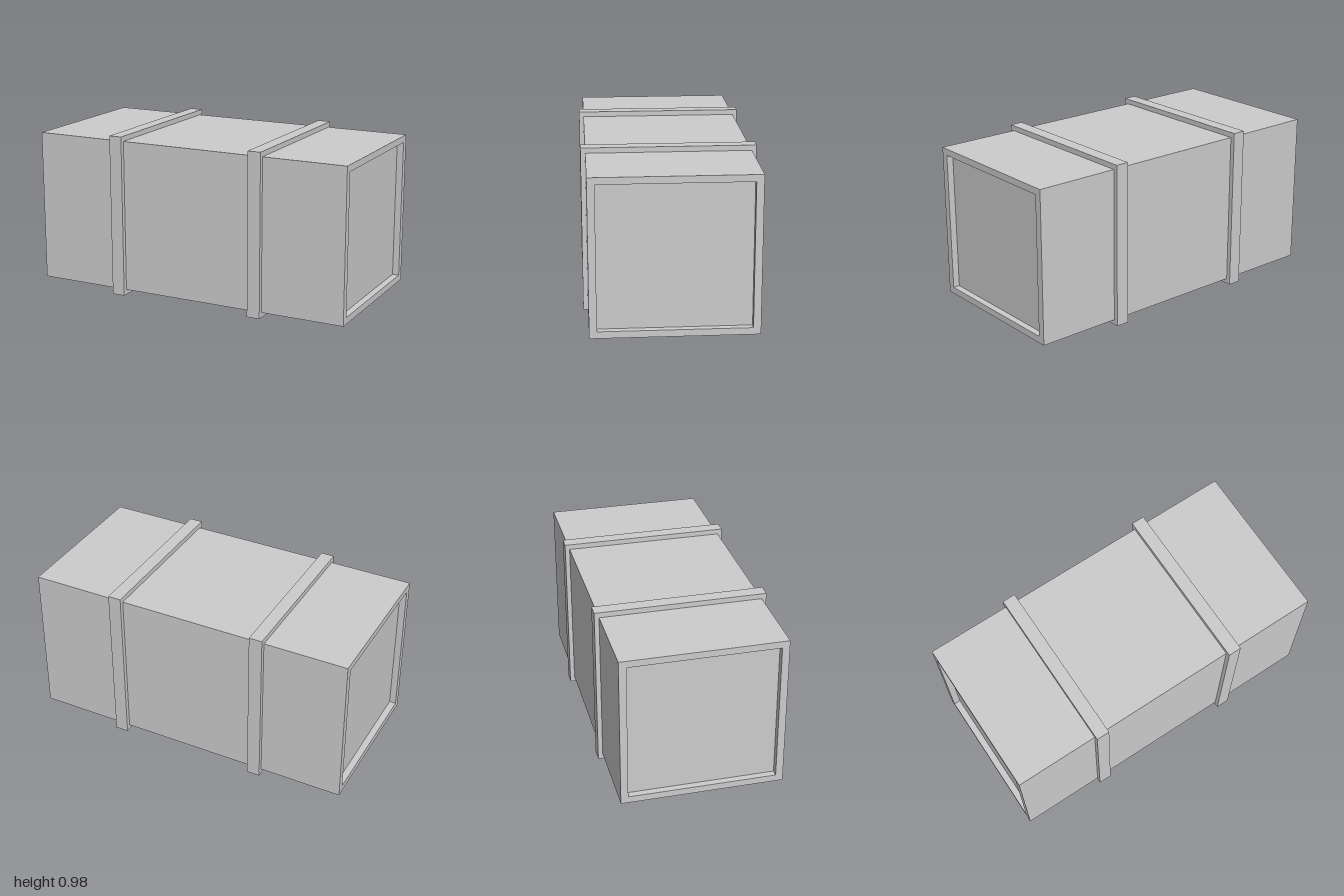
import * as THREE from 'three';

const material = new THREE.MeshStandardMaterial({ color: 0xcccccc });
const CENTER_Y = 0.491;

// Rectangular sleeve running along x, with a rectangular opening through it
function sleeve(name, length, outerW, outerH, innerW, innerH) {
  const corners = (w, h) => [
    new THREE.Vector2(-w / 2, -h / 2), new THREE.Vector2(w / 2, -h / 2),
    new THREE.Vector2(w / 2, h / 2), new THREE.Vector2(-w / 2, h / 2),
  ];
  const shape = new THREE.Shape(corners(outerW, outerH));
  shape.holes.push(new THREE.Path(corners(innerW, innerH).reverse()));
  const geometry = new THREE.ExtrudeGeometry(shape, { depth: length, bevelEnabled: false });
  geometry.translate(0, 0, -length / 2).rotateY(Math.PI / 2);
  const mesh = new THREE.Mesh(geometry, material);
  mesh.name = name;
  mesh.position.y = CENTER_Y;
  return mesh;
}

export function createModel() {
  const model = new THREE.Group();
  model.name = 'bandedCrate';

  // Outer casing, open at both ends
  model.add(sleeve('casing', 2, 0.952, 0.92, 0.866, 0.84));

  // Inner core whose end faces form the recessed end panels
  const core = new THREE.Mesh(new THREE.BoxGeometry(1.92, 0.84, 0.866), material);
  core.name = 'endPanels';
  core.position.y = CENTER_Y;
  model.add(core);

  // Raised straps around the casing
  for (const [name, x] of [['rightStrap', -0.457], ['leftStrap', 0.452]]) {
    const strap = sleeve(name, 0.08, 1.006, 0.982, 0.952, 0.92);
    strap.position.x = x;
    model.add(strap);
  }
  return model;
}
